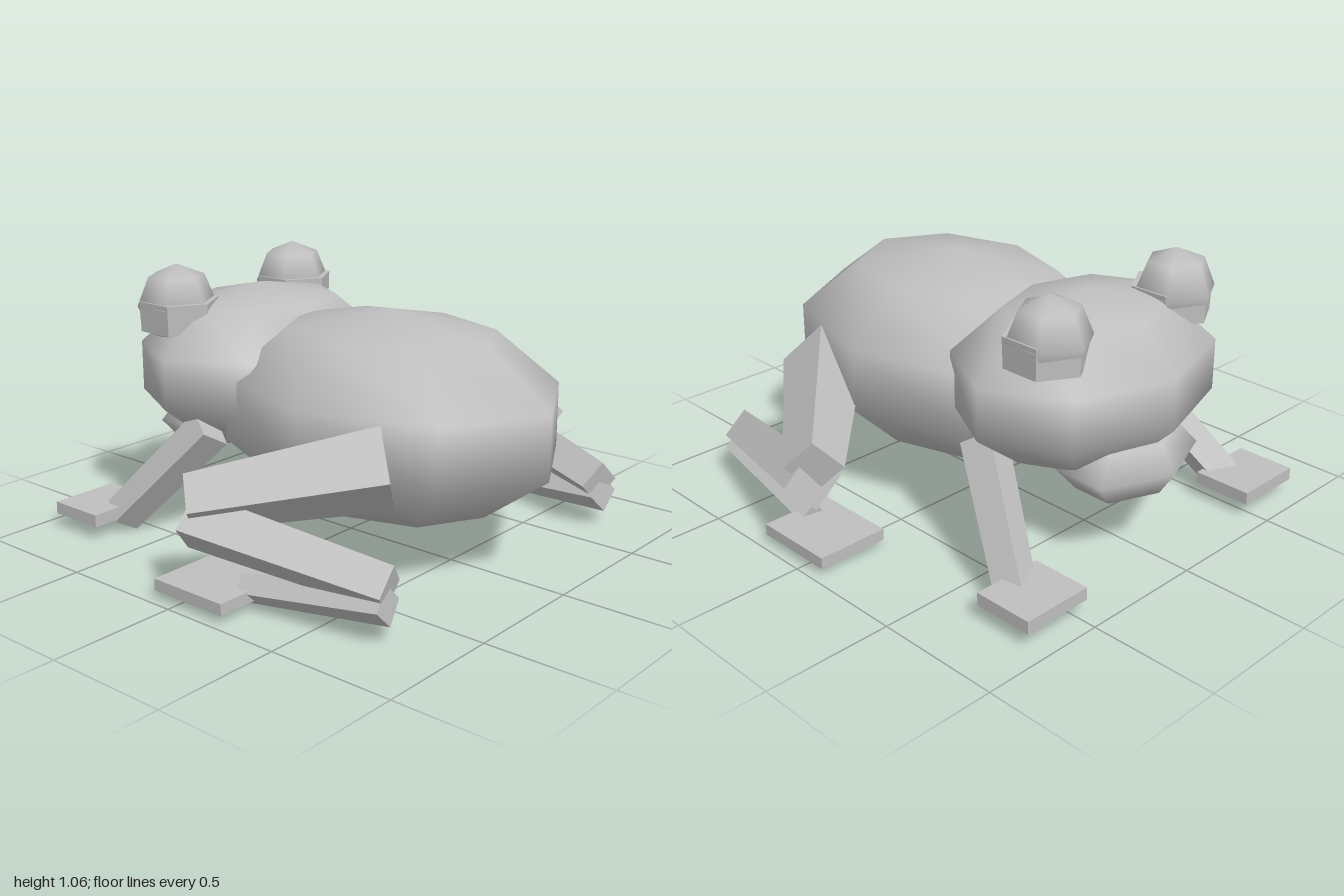
import * as THREE from 'three';

export function createModel() {
  const model = new THREE.Group();
  model.name = 'frog';
  const skin = new THREE.MeshStandardMaterial({ color: 0xbfbfbf });
  skin.name = 'grey skin';
  const limbSkin = skin.clone();
  limbSkin.name = 'grey limb skin';
  limbSkin.flatShading = true;

  const add = (name, geometry, material, parent) => {
    const mesh = new THREE.Mesh(geometry, material);
    mesh.name = name;
    parent.add(mesh);
    return mesh;
  };

  // Smooth, coarse ellipsoid
  const ellipsoid = (name, segments, rings, radii, pos, parent = model) => {
    const g = new THREE.SphereGeometry(1, segments, rings);
    if (segments === 6) g.rotateY(Math.PI / 6);
    g.scale(...radii);
    add(name, g, skin, parent).position.set(...pos);
  };

  // Tapered four-sided limb with one ridge facing up
  const limb = (name, a, b, ra, rb, parent) => {
    const start = new THREE.Vector3(...a), end = new THREE.Vector3(...b);
    const dir = end.clone().sub(start);
    const g = new THREE.CylinderGeometry(rb, ra, dir.length(), 4);
    dir.normalize();
    const side = dir.clone().cross(new THREE.Vector3(0, 1, 0)).normalize();
    const up = side.clone().cross(dir);
    const mesh = add(name, g, limbSkin, parent);
    mesh.quaternion.setFromRotationMatrix(new THREE.Matrix4().makeBasis(side, dir, up));
    mesh.position.copy(start).add(end).multiplyScalar(0.5);
  };

  const plate = (name, size, pos, parent) =>
    add(name, new THREE.BoxGeometry(...size), limbSkin, parent).position.set(...pos);

  // Torso, head and throat
  ellipsoid('body', 8, 5, [0.573, 0.405, 0.757], [0, 0.545, 0.2]);
  ellipsoid('head', 8, 5, [0.575, 0.325, 0.452], [0, 0.64, -0.475]);
  ellipsoid('throat', 6, 4, [0.31, 0.137, 0.22], [0, 0.37, -0.7]);

  for (const s of [1, -1]) {
    const half = new THREE.Group();
    half.name = s > 0 ? 'leftSide' : 'rightSide';
    model.add(half);

    // Eye and its socket
    ellipsoid('eye', 6, 4, [0.16, 0.16, 0.157], [s * 0.337, 0.91, -0.615], half);
    const socket = add('eyeSocket', new THREE.CylinderGeometry(0.16, 0.155, 0.12, 6), limbSkin, half);
    socket.position.set(s * 0.337, 0.87, -0.603);

    // Folded hind leg
    limb('thigh', [s * 0.43, 0.5, 0.53], [s * 0.89, 0.38, 0.01], 0.16, 0.11, half);
    limb('shin', [s * 0.89, 0.32, 0.02], [s * 0.68, 0.19, 0.74], 0.11, 0.09, half);
    limb('ankle', [s * 0.7, 0.14, 0.75], [s * 0.79, 0.07, 0.17], 0.075, 0.055, half);
    plate('hindFoot', [0.29, 0.045, 0.335], [s * 0.82, 0.0625, 0.0625], half);

    // Front leg
    limb('frontLeg', [s * 0.41, 0.46, -0.37], [s * 0.59, 0.065, -0.71], 0.09, 0.08, half);
    plate('frontFoot', [0.29, 0.05, 0.24], [s * 0.605, 0.09, -0.805], half);
  }
  return model;
}
